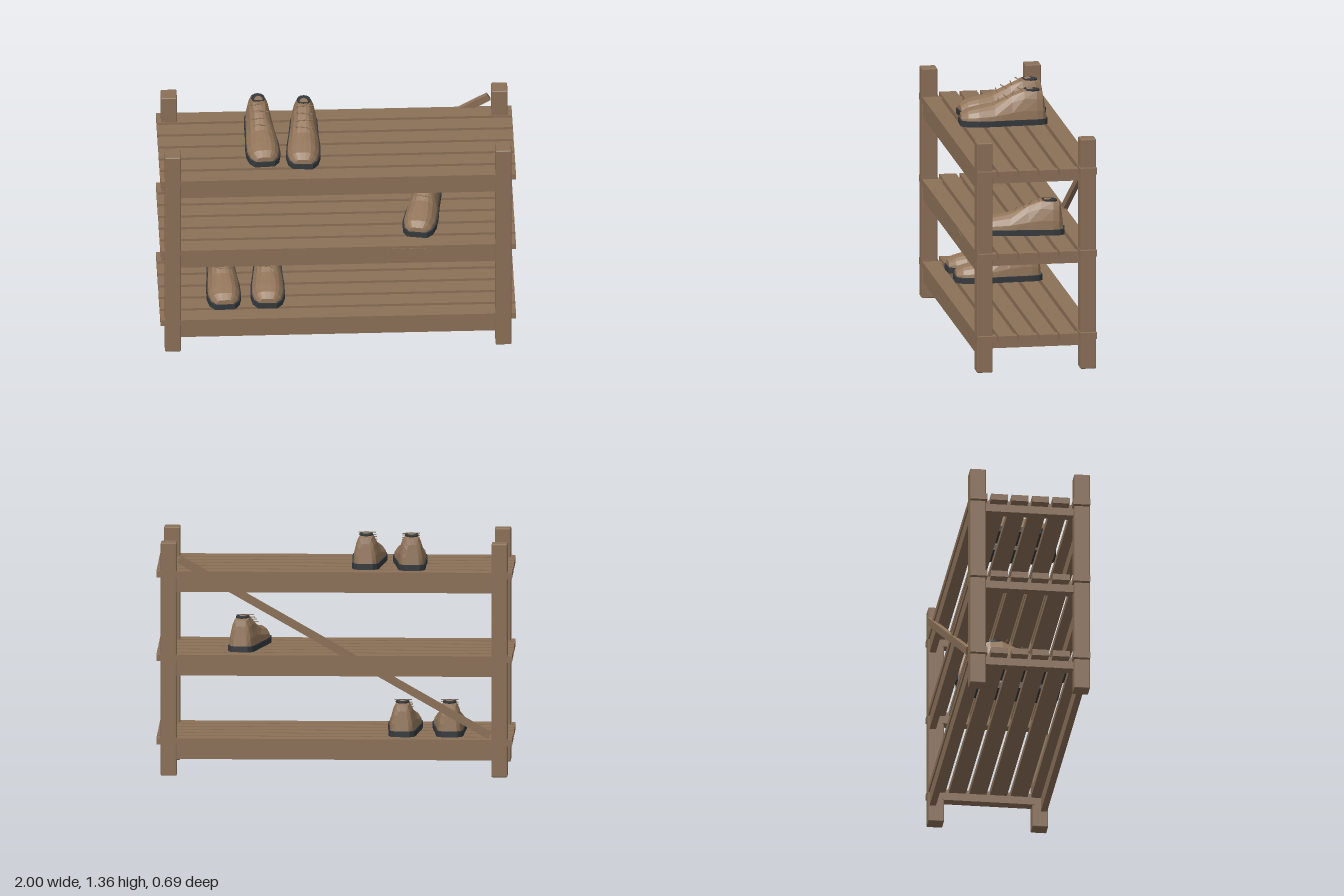
import * as THREE from 'three';
import { RoundedBoxGeometry } from 'three/addons/geometries/RoundedBoxGeometry.js';

const mat = (name, color) => {
  const m = new THREE.MeshStandardMaterial({ color });
  m.name = name;
  return m;
};

export function createModel() {
  const wood = mat('wood', 0x8b7058);
  const leather = mat('leather', 0x93765b);
  const rubber = mat('rubber', 0x34393d);
  const model = new THREE.Group();
  model.name = 'shoeRack';

  const add = (parent, name, geometry, material, x = 0, y = 0, z = 0) => {
    const mesh = new THREE.Mesh(geometry, material);
    mesh.name = name;
    mesh.position.set(x, y, z);
    parent.add(mesh);
    return mesh;
  };
  const box = (parent, name, w, h, d, x, y, z) =>
    add(parent, name, new THREE.BoxGeometry(w, h, d), wood, x, y, z);

  // Corner posts
  for (const x of [-0.93, 0.93])
    for (const z of [0.3, -0.29])
      add(model, 'post', new RoundedBoxGeometry(0.09, 1.325, 0.09, 1, 0.006), wood, x, 0.6625, z);

  // Shelves: six slats on long rails and side rails
  const shelfTops = [0.213, 0.688, 1.163];
  for (const top of shelfTops) {
    const shelf = new THREE.Group();
    shelf.name = 'shelf';
    shelf.position.y = top;
    model.add(shelf);
    for (let i = 0; i < 6; i++)
      box(shelf, 'slat', 2, 0.036, 0.096, 0, -0.018, 0.295 - i * 0.1165);
    for (const z of [0.32, -0.31]) box(shelf, 'longRail', 1.78, 0.086, 0.036, 0, -0.075, z);
    for (const x of [-0.91, 0.91]) box(shelf, 'sideRail', 0.06, 0.066, 0.52, x, -0.048, 0.005);
  }

  // Diagonal brace across the back
  const brace = box(model, 'brace', 2.01, 0.042, 0.026, -0.002, 0.735, -0.332);
  brace.rotation.z = Math.atan2(0.99, 1.74);

  // Shoe stations: z, half width at the sole, height, half width on top
  const stations = [
    [-0.244, 0.038, 0.145, 0.022], [-0.225, 0.06, 0.178, 0.032], [-0.19, 0.07, 0.19, 0.038],
    [-0.12, 0.074, 0.195, 0.034], [-0.05, 0.078, 0.166, 0.03], [0.05, 0.088, 0.118, 0.036],
    [0.14, 0.09, 0.1, 0.045], [0.2, 0.077, 0.085, 0.042], [0.236, 0.048, 0.06, 0.03]
  ];

  // Faceted upper lofted from the stations
  const upperGeometry = () => {
    const base = 0.03, pos = [], idx = [];
    stations.forEach(([z, w, h, t], i) => {
      const half = [[w, 0], [w * 0.96, 0.32], [w * 0.5 + t * 0.5, 0.72], [t, 0.95], [t * 0.4, 1]];
      const ring = [...half, ...half.map(([x, f]) => [-x, f]).reverse()];
      // the heel leans forward as it rises
      for (const [x, f] of ring) pos.push(x, base + f * (h - base), z + (i === 0 ? f * 0.012 : 0));
    });
    const n = 10, last = (stations.length - 1) * n;
    for (let s = 0; s < last; s += n)
      for (let k = 0; k < n; k++) {
        const a = s + k, b = s + (k + 1) % n;
        idx.push(a, b, a + n, b, b + n, a + n);
      }
    for (let k = 1; k < n - 1; k++) idx.push(0, k + 1, k, last, last + k, last + k + 1);
    const g = new THREE.BufferGeometry();
    g.setAttribute('position', new THREE.Float32BufferAttribute(pos, 3));
    g.setIndex(idx);
    const flat = g.toNonIndexed();
    flat.computeVertexNormals();
    return flat;
  };

  // Sole outline follows the stations with a small margin
  const soleGeometry = () => {
    const side = stations.map(([z, w]) => new THREE.Vector2(w + 0.007, -z * 1.03));
    const mirrored = side.map((p) => new THREE.Vector2(-p.x, p.y)).reverse();
    const g = new THREE.ExtrudeGeometry(new THREE.Shape([...side, ...mirrored]), { depth: 0.032, bevelEnabled: false });
    return g.rotateX(-Math.PI / 2);
  };

  const upper = upperGeometry();
  const sole = soleGeometry();
  const opening = new THREE.CylinderGeometry(0.038, 0.038, 0.008, 12).scale(1, 1, 1.2);
  const tongue = new THREE.CylinderGeometry(0.024, 0.026, 0.012, 8).scale(1, 1, 1.5);
  const lace = new THREE.CylinderGeometry(0.003, 0.003, 0.1, 5).rotateZ(Math.PI / 2);

  const addShoe = (x, y, z, turn) => {
    const shoe = new THREE.Group();
    shoe.name = 'shoe';
    shoe.position.set(x, y, z);
    shoe.rotation.y = turn;
    model.add(shoe);
    add(shoe, 'sole', sole, rubber);
    add(shoe, 'upper', upper, leather);
    add(shoe, 'opening', opening, rubber, 0, 0.191, -0.165).rotation.x = -0.06;
    add(shoe, 'tongue', tongue, leather, 0, 0.191, -0.14).rotation.x = 0.06;
    // Laces climb the instep
    for (let i = 0; i < 4; i++) {
      const l = add(shoe, 'lace', lace, leather, 0, 0.135 + i * 0.019, 0.025 - i * 0.042);
      l.rotation.y = i % 2 ? 0.15 : -0.15;
    }
  };

  addShoe(-0.64, shelfTops[0], 0.005, 0.03);
  addShoe(-0.385, shelfTops[0], 0.0, -0.03);
  addShoe(0.49, shelfTops[1], 0.02, -0.18);
  addShoe(-0.422, shelfTops[2], -0.025, 0.06);
  addShoe(-0.183, shelfTops[2], 0.005, -0.045);

  // Loose lace at the edge of the middle shelf
  const loose = new THREE.CatmullRomCurve3([
    new THREE.Vector3(0.28, 0.668, 0.341), new THREE.Vector3(0.36, 0.674, 0.342),
    new THREE.Vector3(0.44, 0.668, 0.342), new THREE.Vector3(0.52, 0.672, 0.341)
  ]);
  add(model, 'looseLace', new THREE.TubeGeometry(loose, 12, 0.003, 5), leather);

  return model;
}
